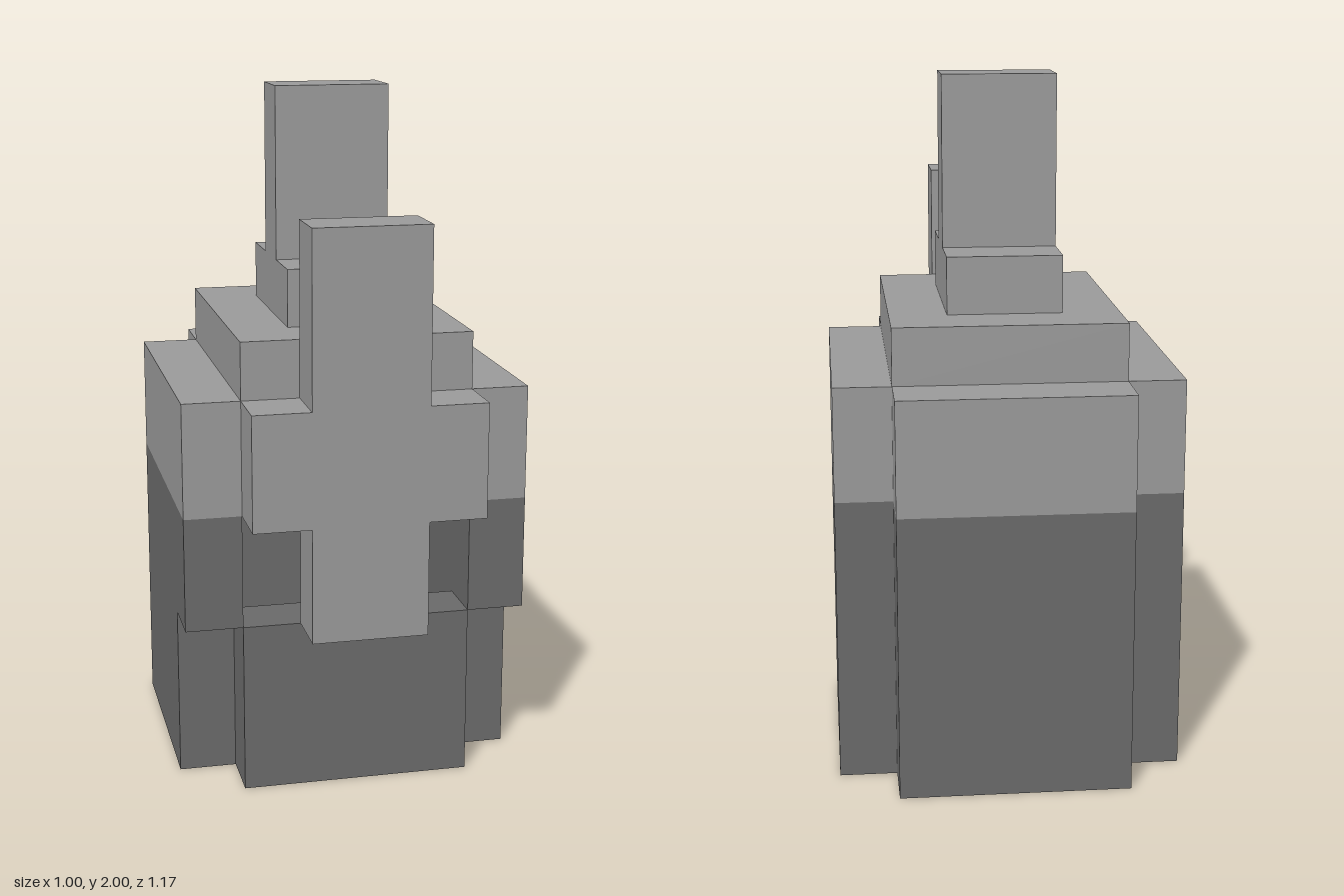
import * as THREE from 'three';

const U = 1 / 6; // one block of the model's grid

export function createModel() {
  const group = new THREE.Group();
  const lightGrey = new THREE.MeshStandardMaterial({ color: 0x999999 });
  lightGrey.name = 'lightGrey';
  const darkGrey = new THREE.MeshStandardMaterial({ color: 0x696969 });
  darkGrey.name = 'darkGrey';

  // Box given by its [min, max] range in blocks along each axis
  function block(name, material, x, y, z) {
    const geometry = new THREE.BoxGeometry((x[1] - x[0]) * U, (y[1] - y[0]) * U, (z[1] - z[0]) * U);
    const mesh = new THREE.Mesh(geometry, material);
    mesh.position.set((x[0] + x[1]) / 2 * U, (y[0] + y[1]) / 2 * U, (z[0] + z[1]) / 2 * U);
    mesh.name = name;
    group.add(mesh);
  }

  // Side walls: dark cheeks notched at the lower front, light band above
  for (const [side, x] of [['left', [2, 3]], ['right', [-3, -2]]]) {
    block(side + 'CheekLower', darkGrey, x, [0, 3], [-2.5, 1.5]);
    block(side + 'CheekUpper', darkGrey, x, [3, 5], [-2.5, 2.5]);
    block(side + 'Band', lightGrey, x, [5, 7], [-2.5, 2.5]);
  }

  // Back wall
  block('backGuard', darkGrey, [-2, 2], [0, 5], [-3.5, -2.5]);
  block('backBand', lightGrey, [-2, 2], [5, 7], [-3.5, -2.5]);

  // Front: low face guard, open eye slot, brow with nose guard and crest plate
  block('faceGuard', darkGrey, [-2, 2], [0, 3], [1.5, 2.5]);
  block('noseGuard', lightGrey, [-1, 1], [3, 5], [2.5, 3.5]);
  block('brow', lightGrey, [-2, 2], [5, 7], [2.5, 3.5]);
  block('frontPlate', lightGrey, [-1, 1], [7, 10], [2.5, 3.5]);

  // Stepped crown and top crest
  block('crown', lightGrey, [-2, 2], [7, 8], [-2.5, 2.5]);
  block('crestBase', lightGrey, [-1, 1], [8, 9], [-1.5, 1.5]);
  block('crest', lightGrey, [-1, 1], [9, 12], [-0.5, 0.5]);

  return group;
}
